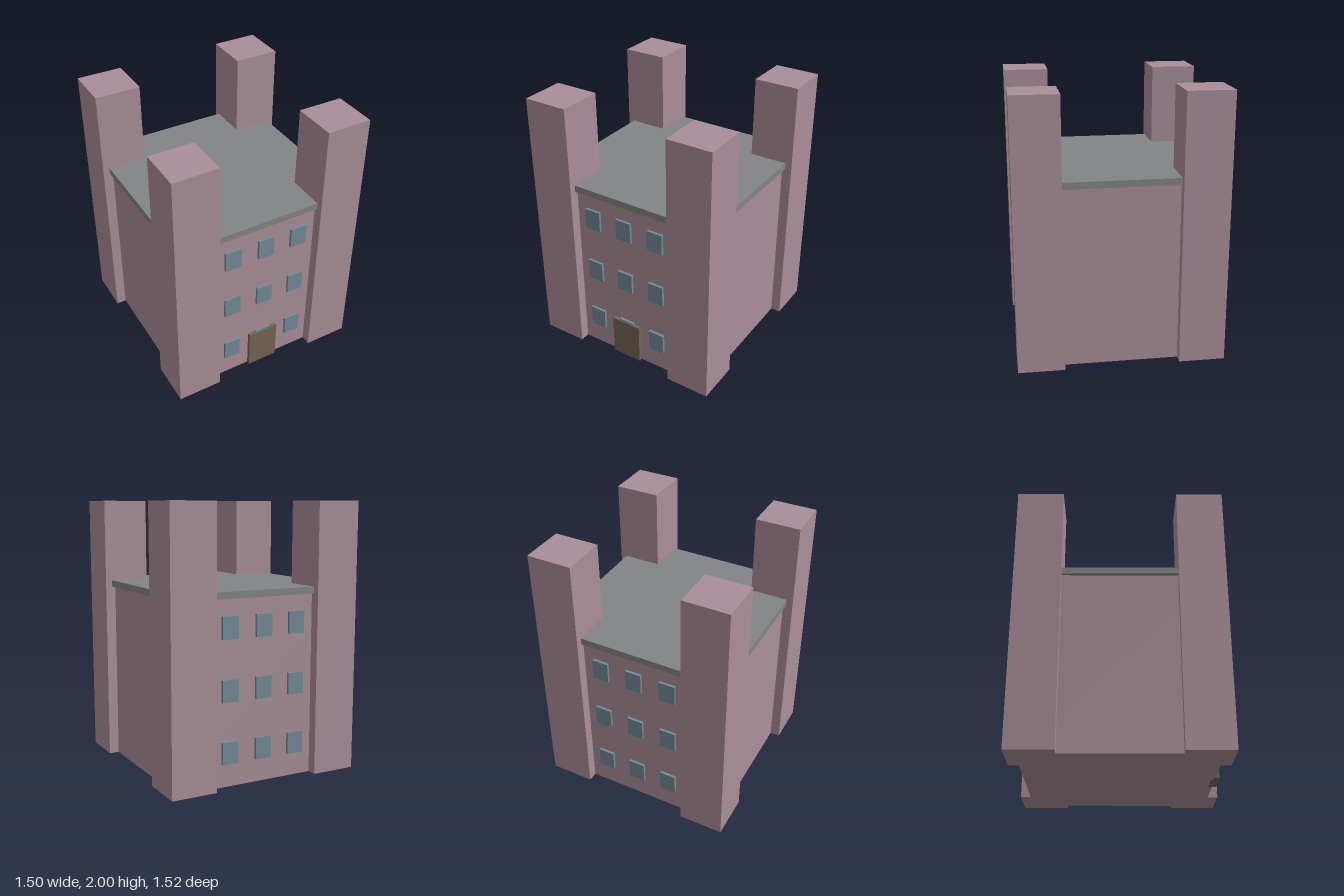
import * as THREE from 'three';

export function createModel() {
  const model = new THREE.Group();
  model.name = 'towerBuilding';

  const mat = (name, color) => {
    const m = new THREE.MeshStandardMaterial({ color });
    m.name = name;
    return m;
  };
  const stone = mat('dusty pink stone', 0xa98e98);
  const slate = mat('grey slate', 0x828486);
  const glass = mat('blue glass', 0x718b96);
  const wood = mat('brown wood', 0x746551);

  // Box centred on x and z, with its base at y
  const box = (name, material, w, h, d, x, y, z) => {
    const mesh = new THREE.Mesh(new THREE.BoxGeometry(w, h, d), material);
    mesh.name = name;
    mesh.position.set(x, y + h / 2, z);
    model.add(mesh);
  };

  // Main block and overhanging roof slab
  box('walls', stone, 1.35, 1.34, 1.37, 0, 0, 0);
  box('roof', slate, 1.4, 0.05, 1.42, 0, 1.34, 0);

  // Four corner towers
  for (const sx of [-1, 1])
    for (const sz of [-1, 1])
      box('cornerTower', stone, 0.34, 2, 0.34, sx * 0.58, 0, sz * 0.59);

  // Three by three windows on the front and back
  for (const side of [-1, 1])
    for (const y of [0.17, 0.615, 1.06])
      for (const x of [-0.27, 0, 0.27])
        box(side > 0 ? 'frontWindow' : 'backWindow', glass, 0.126, 0.16, 0.04, x, y, side * 0.685);

  // Front door, standing proud of the window behind it
  box('door', wood, 0.24, 0.318, 0.056, 0, 0, 0.685);

  return model;
}
